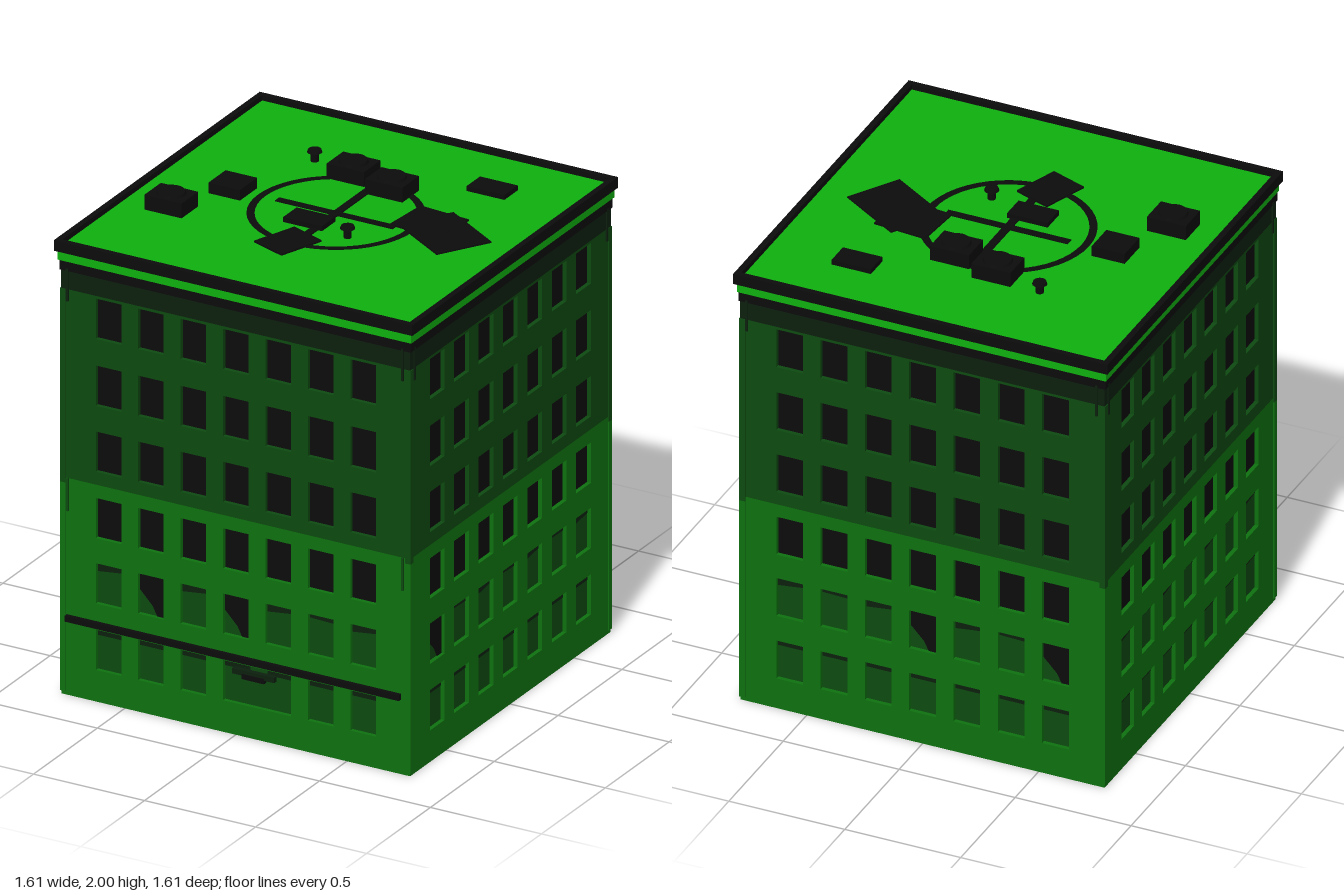
import * as THREE from 'three';

const mat = (name, color) => {
  const m = new THREE.MeshStandardMaterial({ color });
  m.name = name;
  return m;
};

const rect = (x0, y0, x1, y1, Kind = THREE.Shape) => {
  const s = new Kind();
  s.moveTo(x0, y0).lineTo(x1, y0).lineTo(x1, y1).lineTo(x0, y1).closePath();
  return s;
};

export function createModel() {
  const root = new THREE.Group();
  root.name = 'apartmentBlock';
  const roofGreen = mat('bright green', 0x0fb00f);
  const lowerGreen = mat('mid green', 0x0e720f);
  const upperGreen = mat('dark green', 0x0d4a10);
  const friezeGreen = mat('deep green', 0x0c200e);
  const black = mat('black', 0x0c0c0c);

  const add = (parent, name, geo, material, x = 0, y = 0, z = 0) => {
    const m = new THREE.Mesh(geo, material);
    m.name = name;
    m.position.set(x, y, z);
    parent.add(m);
    return m;
  };
  // Box given by its bottom and top heights
  const box = (parent, name, w, y0, y1, d, material, x = 0, z = 0) =>
    add(parent, name, new THREE.BoxGeometry(w, y1 - y0, d), material, x, (y0 + y1) / 2, z);

  const H = 0.785, IN = 0.765, SPLIT = 0.93, TOP = 1.74;
  const cols = [-3, -2, -1, 0, 1, 2, 3].map((i) => i * 0.191);
  const upperRows = [1.555, 1.268, 0.985];
  const lowerRows = [0.7, 0.42, 0.135];
  const WW = 0.0575, WH = 0.173;

  // One facade: pierced wall, recessed panes, inner lining
  const facade = (name, angle, darkCols, isFront) => {
    const g = new THREE.Group();
    g.name = name;
    g.rotation.y = angle;
    root.add(g);

    const opening = (x, y, Kind) => rect(x - WW, y, x + WW, y + WH, Kind);
    const wall = (part, y0, y1, rows, material) => {
      const s = rect(-H, y0, H, y1);
      rows.forEach((y) => cols.forEach((x, i) => {
        const door = isFront && y === 0.135 && (i === 3 || i === 4);
        if (!door) s.holes.push(opening(x, y, THREE.Path));
        else if (i === 3) s.holes.push(rect(x - WW, y, cols[4] + WW, y + WH, THREE.Path));
      }));
      add(g, part, new THREE.ExtrudeGeometry(s, { depth: H - IN, bevelEnabled: false }), material, 0, 0, IN);
      const lining = new THREE.PlaneGeometry(2 * IN, y1 - y0).rotateY(Math.PI);
      add(g, part + 'Lining', lining, material, 0, (y0 + y1) / 2, IN - 0.004);
    };
    wall('lowerWall', 0, SPLIT, lowerRows, lowerGreen);
    wall('upperWall', SPLIT, TOP, upperRows, upperGreen);

    const plates = (part, shapes, material, z) => add(g, part, new THREE.ShapeGeometry(shapes), material, 0, 0, z);
    const panes = (rows) => rows.flatMap((y) => cols.map((x) => opening(x, y)));
    plates('darkPanes', panes([...upperRows, 0.7]), black, IN + 0.002);
    const green = panes([0.42, 0.135]);
    if (isFront) green.push(rect(cols[3], 0.135, cols[4], 0.135 + WH));
    plates('greenPanes', green, upperGreen, IN + 0.002);

    // Shaded tops of the two lowest rows
    const shades = cols.flatMap((x, i) => {
      const s = new THREE.Shape();
      const a = 0.42 + WH, l = i % 2 ? 0.022 : 0.04;
      s.moveTo(x - WW, a).lineTo(x - WW, a - l).lineTo(x + WW, a - 0.026).lineTo(x + WW, a).closePath();
      return [s, rect(x - WW, 0.28, x + WW, 0.308)];
    });
    plates('paneShades', shades, friezeGreen, IN + 0.004);

    // Darkened windows with a slanting edge
    if (darkCols.length) {
      plates('brokenPanes', darkCols.map((i) => {
        const s = new THREE.Shape(), x = cols[i];
        s.moveTo(x + WW, 0.42).lineTo(x + WW, 0.42 + WH).lineTo(x - WW, 0.42 + WH)
          .lineTo(x - WW, 0.52).lineTo(x, 0.46).lineTo(x + 0.02, 0.42).closePath();
        return s;
      }), black, IN + 0.006);
    }

    // Short drain brackets near the corners
    for (const x of [-0.757, 0.752]) {
      box(g, 'upperBracket', 0.01, 1.69, 1.83, 0.008, friezeGreen, x, H + 0.003);
      if (isFront) box(g, 'lowerBracket', 0.01, 0.79, 0.93, 0.008, upperGreen, x, H + 0.003);
    }
    if (isFront) {
      box(g, 'frontLedge', 1.505, 0.32, 0.345, 0.02, black, -0.008, H + 0.008);
      box(g, 'doorCanopy', 0.19, 0.262, 0.285, 0.02, friezeGreen, 0.08, IN + 0.014);
      box(g, 'doorLamp', 0.1, 0.248, 0.27, 0.02, black, 0.08, IN + 0.016);
    }
  };
  facade('frontFacade', 0, [1, 3], true);
  facade('rightFacade', Math.PI / 2, [0], false);
  facade('backFacade', Math.PI, [3, 6], false);
  facade('leftFacade', -Math.PI / 2, [], false);

  // Corner strips
  for (const x of [-1, 1]) for (const z of [-1, 1]) {
    box(root, 'lowerCorner', 0.025, 0.015, 0.91, 0.025, lowerGreen, x * 0.777, z * 0.777);
    box(root, 'upperCorner', 0.025, 0.91, TOP, 0.025, upperGreen, x * 0.777, z * 0.777);
  }

  // Frieze, cornice and roof deck
  box(root, 'frieze', 1.572, TOP, 1.82, 1.572, friezeGreen);
  box(root, 'cornice', 1.582, 1.82, 1.862, 1.582, black);
  box(root, 'roofDeck', 1.592, 1.862, 1.925, 1.592, roofGreen);
  const rim = rect(-0.807, -0.807, 0.807, 0.807);
  rim.holes.push(rect(-0.782, -0.782, 0.782, 0.782, THREE.Path));
  const rimGeo = new THREE.ExtrudeGeometry(rim, { depth: 0.045, bevelEnabled: false }).rotateX(-Math.PI / 2);
  add(root, 'parapet', rimGeo, black, 0, 1.902, 0);

  // Painted landing circle and cross
  const DECK = 1.925;
  const circle = new THREE.RingGeometry(0.318, 0.35, 48).rotateX(-Math.PI / 2);
  add(root, 'landingCircle', circle, black, 0, DECK + 0.004, 0);
  box(root, 'crossBarAcross', 0.53, DECK, DECK + 0.004, 0.034, black);
  box(root, 'crossBarAlong', 0.034, DECK, DECK + 0.005, 0.53, black);

  // Flat roof patches: x, z, width, depth, turn in degrees
  [[0.465, -0.045, 0.315, 0.243, 32], [0.36, -0.105, 0.23, 0.21, 5], [-0.03, 0.325, 0.165, 0.205, 20]]
    .forEach(([x, z, w, d, a], i) => {
      const p = box(root, 'roofPatch', w, DECK, DECK + 0.006 + i * 0.001, d, black, x, z);
      p.rotation.y = -a * Math.PI / 180;
    });

  // Cooling units with a round fan on top
  for (const [x, z] of [[-0.115, -0.338], [0.088, -0.285], [-0.585, 0.273]]) {
    box(root, 'coolingUnit', 0.168, DECK, 1.988, 0.13, black, x, z);
    add(root, 'coolingFan', new THREE.CylinderGeometry(0.055, 0.06, 0.012, 20), black, x, 1.994, z);
  }

  // Roof boxes: x, z, width, depth, top
  for (const [x, z, w, d, top] of [[-0.458, 0.012, 0.142, 0.135, 1.97], [0.42, -0.493, 0.17, 0.105, 1.946], [-0.053, 0.117, 0.175, 0.105, 1.946]])
    box(root, 'roofBox', w, DECK, top, d, black, x, z);

  // Capped vent pipes
  for (const [x, z] of [[-0.32, -0.39], [0.15, 0.17]]) {
    add(root, 'ventPipe', new THREE.CylinderGeometry(0.016, 0.016, 0.045, 12), black, x, DECK + 0.022, z);
    add(root, 'ventCap', new THREE.CylinderGeometry(0.026, 0.03, 0.012, 16), black, x, 1.97, z);
  }
  return root;
}
